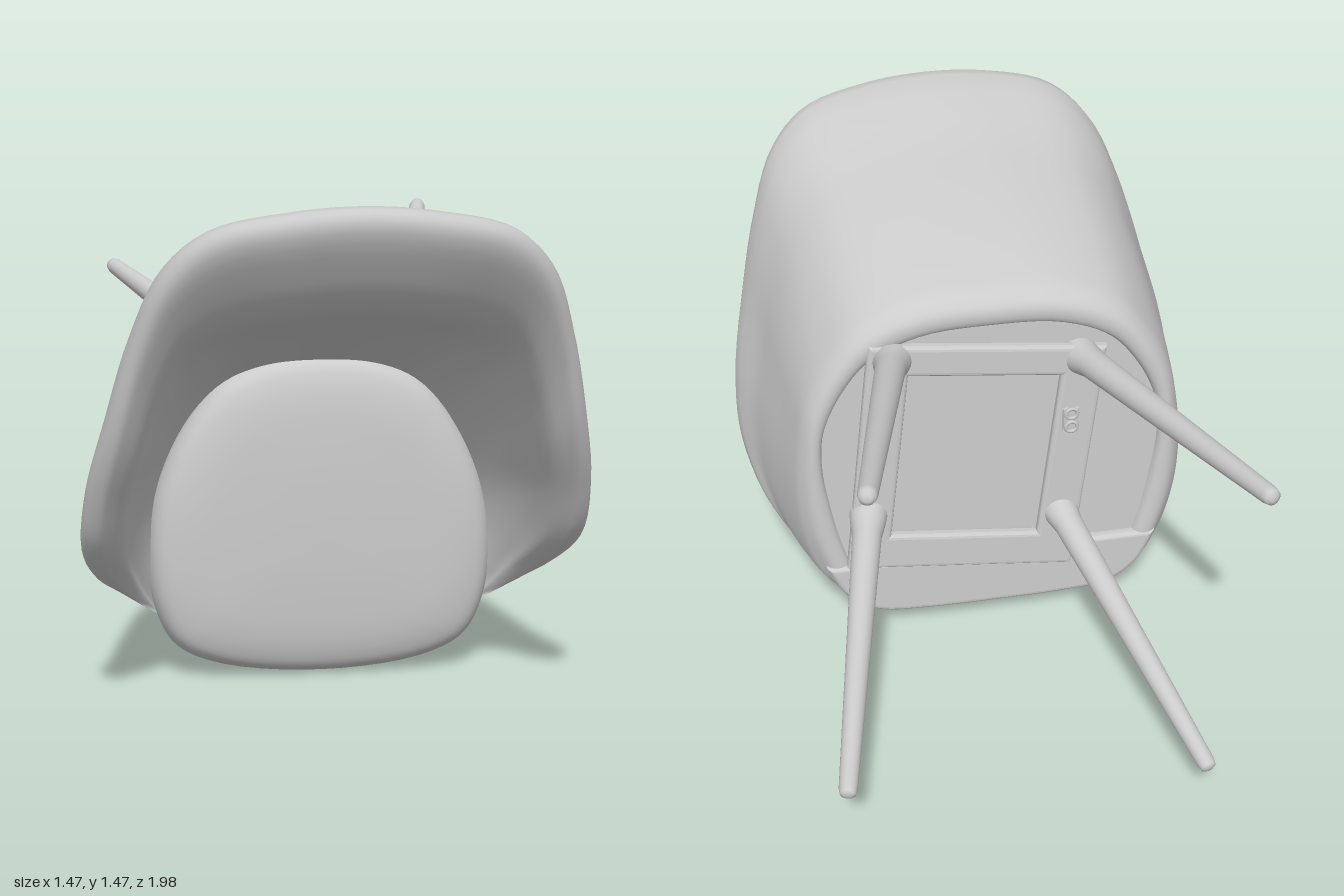
import * as THREE from 'three';
import { mergeVertices } from 'three/addons/utils/BufferGeometryUtils.js';

const V = (x, y, z) => new THREE.Vector3(x, y, z);
const grey = new THREE.MeshStandardMaterial({ color: 0xcccccc, side: THREE.DoubleSide });

// half outline (back centre to front) -> full run, +x front round the back to -x front
const mirrored = half => {
  const p = half.map(([x, y, z]) => V(x, y, z));
  return [...p.slice().reverse(), ...p.slice(1).map(q => V(-q.x, q.y, q.z))];
};

// smooth surface through rows of points
function skin(rows) {
  const n = rows[0].length, index = [];
  for (let r = 0; r < rows.length - 1; r++)
    for (let c = 0; c < n - 1; c++) {
      const a = r * n + c, b = a + n;
      index.push(a, b, b + 1, a, b + 1, a + 1);
    }
  let g = new THREE.BufferGeometry().setFromPoints(rows.flat());
  g.setIndex(index);
  g = mergeVertices(g, 1e-4);
  g.computeVertexNormals();
  return g;
}

export function createModel() {
  const chair = new THREE.Group();
  chair.name = 'chair';
  const add = (name, geometry, parent = chair) => {
    const m = new THREE.Mesh(geometry, grey);
    m.name = name;
    parent.add(m);
    return m;
  };

  // Guide lines of the wraparound shell: rolled rim, base edge, foot of the inner wall
  const rimHalf = [[0, 1.455, .97], [.2, 1.44, .965], [.4, 1.395, .93], [.52, 1.29, .87], [.6, 1.1, .79],
    [.66, .87, .71], [.705, .67, .61], [.715, .49, .5], [.67, .36, .32], [.6, .28, .19], [.5, .2, .08]];
  const baseHalf = [[0, 1.24, 0], [.22, 1.225, 0], [.39, 1.155, 0], [.49, 1.04, 0], [.56, .9, 0],
    [.59, .75, 0], [.6, .6, 0], [.59, .45, 0], [.56, .32, 0], [.52, .22, 0], [.44, .13, 0]];
  const footHalf = [[0, .96, .14], [.16, .95, .14], [.28, .91, .14], [.37, .83, .14], [.43, .74, .14],
    [.475, .64, .14], [.5, .55, .14], [.51, .44, .14], [.5, .33, .12], [.48, .22, .08], [.43, .14, .04]];
  const [rim, base, foot] = [rimHalf, baseHalf, footHalf].map(h => new THREE.CatmullRomCurve3(mirrored(h)));

  // Shell: one profile per step round the seat, from the inner foot over the padded rim to the underside
  const steps = 96, profileSteps = 44, profiles = [];
  for (let i = 0; i <= steps; i++) {
    const u = i / steps, R = rim.getPoint(u), B = base.getPoint(u), F = foot.getPoint(u);
    B.z += .04 * B.x - .03 * (1.24 - B.y) - .005;
    const inward = V(F.x - R.x, F.y - R.y, 0), reach = inward.length();
    const d = inward.normalize();
    const e = Math.abs(2 * u - 1);
    const back = 1 - THREE.MathUtils.smoothstep(e, .15, .6);
    const t = Math.min(.13 - .04 * e + .13 * back, reach * .7);
    const curl = Math.min(1, (1 - e) * 6);
    const at = (p, k, dz) => p.clone().addScaledVector(d, k).add(V(0, 0, dz));
    const rimIn = at(R, t, -.05 - .09 * back);
    const curve = new THREE.CatmullRomCurve3([
      F, F.clone().lerp(rimIn, .6).addScaledVector(d, -.01), rimIn, at(R, t * .55, -.04 * back), at(R, .03, .015), at(R, -.015, -.01),
      at(R.clone().lerp(B, .35), -.018, 0), at(R.clone().lerp(B, .65), -.022, 0),
      R.clone().lerp(B, .93).addScaledVector(d, -.012),
      B, at(B, .04 * curl, -.035 * curl), at(B, .09 * curl, -.03 * curl), at(B, .11 * curl, .01)]);
    profiles.push(curve.getPoints(profileSteps));
  }
  add('shell', skin(profiles[0].map((_, r) => profiles.map(p => p[r]))));

  // Seat cushion: puffed rings scaled from its outline
  const cushionPts = mirrored([[0, .99, 0], [.17, .97, 0], [.31, .9, 0], [.42, .76, 0], [.5, .58, 0],
    [.528, .4, 0], [.51, .22, 0], [.45, .1, 0], [.32, .035, 0], [0, 0, 0]]);
  const outline = new THREE.CatmullRomCurve3(cushionPts.slice(0, -1), true).getPoints(96);
  const section = new THREE.CatmullRomCurve3([V(0, .235, 0), V(.45, .23, 0), V(.83, .21, 0), V(.96, .175, 0),
    V(1, .115, 0), V(.975, .06, 0), V(.9, .04, 0), V(0, .035, 0)]).getPoints(32);
  const cy = .48;
  add('seatCushion', skin(section.map(s => outline.map(p =>
    V(p.x * s.x, cy + (p.y - cy) * s.x, s.y))))).position.x = .01;

  // Underside, leaning slightly so the front edge and one side sit deeper
  const underside = new THREE.Group();
  underside.name = 'underside';
  underside.rotation.set(.036, -.04, 0);
  chair.add(underside);
  const basePts = mirrored([...baseHalf, [.3, .1, 0], [0, .09, 0]]).slice(0, -1);
  const baseRing = new THREE.CatmullRomCurve3(basePts, true).getPoints(72);
  const plate = new THREE.Shape(baseRing.slice(0, -1).map(p => new THREE.Vector2(p.x * .9, .65 + (p.y - .65) * .93)));
  const slab = new THREE.ExtrudeGeometry(plate, { depth: .035, bevelThickness: .012, bevelSize: .012, bevelSegments: 3 });
  add('basePlate', slab, underside).position.z = -.045;

  // Mounting frame between the legs, turned a little
  const rect = (S, w, y0, y1) => {
    const s = new S();
    s.moveTo(-w, y0); s.lineTo(w, y0); s.lineTo(w, y1); s.lineTo(-w, y1); s.closePath();
    return s;
  };
  const frame = rect(THREE.Shape, .35, -.46, .345);
  frame.holes.push(rect(THREE.Path, .25, -.36, .27));
  const bevel = { depth: .015, bevelThickness: .012, bevelSize: .015, bevelSegments: 3 };
  const frameMesh = add('mountingFrame', new THREE.ExtrudeGeometry(frame, bevel), underside);
  frameMesh.position.set(.05, .72, -.08);
  frameMesh.rotation.z = .12;

  // Rounded front rail closing the shell under the seat edge
  const railEdge = new THREE.CatmullRomCurve3(mirrored([[0, .1, 0], [.22, .103, 0], [.37, .12, 0], [.455, .18, 0], [.51, .28, 0]]));
  const railShape = new THREE.Shape(railEdge.getPoints(32).map(p => new THREE.Vector2(p.x, p.y)));
  const railSolid = new THREE.ExtrudeGeometry(railShape, { depth: .07, bevelThickness: .02, bevelSize: .02, bevelSegments: 4 });
  add('frontRail', railSolid, underside).position.z = -.068;

  // Small fasteners: paired loops on a tab
  for (const [x, y, z] of [[-.24, .79, -.075], [.41, .28, -.075]]) {
    const clip = new THREE.Group();
    clip.name = 'fastener';
    clip.position.set(x, y, z);
    chair.add(clip);
    add('tab', new THREE.BoxGeometry(.05, .08, .015), clip);
    for (const s of [-1, 1])
      add('loop', new THREE.TorusGeometry(.018, .006, 8, 16), clip).position.set(0, s * .025, -.01);
  }

  // Splayed tapering legs with rounded tips: root, tip
  const legs = [
    [V(.3, 1.06, -.02), V(.535, 1.36, -.99)],
    [V(-.27, .995, -.02), V(-.545, 1.16, -.99)],
    [V(.395, .495, -.04), V(.63, .295, -.99)],
    [V(-.21, .43, -.04), V(-.437, .15, -.99)]];
  for (const [root, tip] of legs) {
    const len = root.distanceTo(tip);
    const profile = [[.06, 0], [.055, .04], [.046, .09], [.027, len - .02], [.023, len], [.012, len + .006], [0, len + .007]];
    const leg = add('leg', new THREE.LatheGeometry(profile.map(p => new THREE.Vector2(...p)), 24));
    leg.position.copy(root);
    leg.quaternion.setFromUnitVectors(V(0, 1, 0), tip.clone().sub(root).normalize());
  }
  return chair;
}
